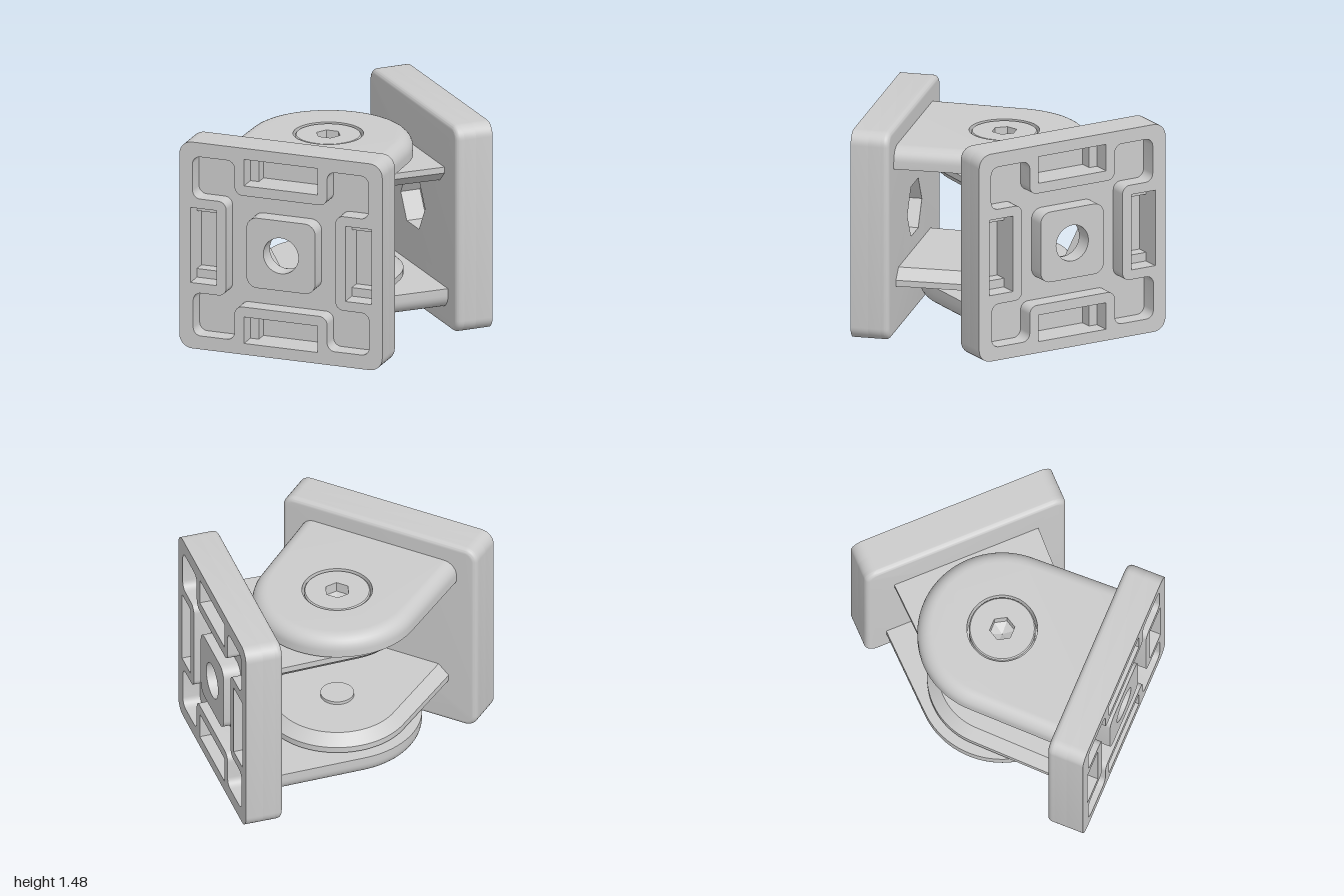
import * as THREE from 'three';
import { mergeGeometries, toCreasedNormals } from 'three/addons/utils/BufferGeometryUtils.js';

const grey = new THREE.MeshStandardMaterial({ color: 0xcccccc });
const thin = new THREE.MeshStandardMaterial({ color: 0xcccccc, side: THREE.DoubleSide });

// ---- outlines (counter-clockwise point loops) ----
function ring(r, n = 48) {
  return Array.from({ length: n }, (_, i) => {
    const a = (i / n) * Math.PI * 2;
    return new THREE.Vector2(r * Math.cos(a), r * Math.sin(a));
  });
}

// Polygon whose corners are rounded by radius r
function roundPoly(corners, r) {
  const out = [], n = corners.length, k = 0.4477;
  corners.forEach((c, i) => {
    const p = corners[(i + n - 1) % n], q = corners[(i + 1) % n];
    const dp = p.clone().sub(c).normalize(), dq = q.clone().sub(c).normalize();
    const at = (d, s) => c.clone().addScaledVector(d, s);
    out.push(...new THREE.CubicBezierCurve(at(dp, r), at(dp, r * k), at(dq, r * k), at(dq, r)).getPoints(8));
  });
  return out;
}

const rect = (x0, x1, y0, y1) =>
  [[x0, y0], [x1, y0], [x1, y1], [x0, y1]].map(([x, y]) => new THREE.Vector2(x, y));
const roundSquare = (h, r) => roundPoly(rect(-h, h, -h, h), r);
const turned = (pts, i) => pts.map(p => p.clone().rotateAround(new THREE.Vector2(), i * Math.PI / 2));

// ---- stacked sections: profile is a list of [inset, height]; holes run straight through ----
function loft(outline, profile, holes = []) {
  const pos = [];
  const wall = (a, wa, b, wb) => a.forEach((p, i) => {
    const j = (i + 1) % a.length;
    const A = [p.x, p.y, wa], B = [a[j].x, a[j].y, wa], C = [b[j].x, b[j].y, wb], D = [b[i].x, b[i].y, wb];
    pos.push(...A, ...B, ...C, ...A, ...C, ...D);
  });
  const cap = (pts, w, up) => {
    const s = new THREE.Shape(pts);
    s.holes = holes.map(h => new THREE.Path(h));
    const g = new THREE.ShapeGeometry(s).toNonIndexed().attributes.position;
    for (let t = 0; t < g.count; t += 3)
      for (const k of up ? [0, 1, 2] : [0, 2, 1]) pos.push(g.getX(t + k), g.getY(t + k), w);
  };
  const rings = profile.map(([o]) => outline(o));
  for (let i = 0; i + 1 < profile.length; i++) wall(rings[i], profile[i][1], rings[i + 1], profile[i + 1][1]);
  const low = profile[0][1], high = profile.at(-1)[1];
  cap(rings[0], low, false);
  cap(rings.at(-1), high, true);
  holes.forEach(h => { const r = [...h].reverse(); wall(r, low, r, high); });
  const geo = new THREE.BufferGeometry();
  geo.setAttribute('position', new THREE.Float32BufferAttribute(pos, 3));
  return toCreasedNormals(geo, 0.6);
}

// Quarter-round edge of radius r as profile steps
const fillet = (r, from) => Array.from({ length: 9 }, (_, i) => {
  const a = (i / 8) * Math.PI / 2;
  return [r * (1 - Math.cos(a)), from + r * Math.sin(a)];
});

// Hinge ear: round end about the pivot, sides flaring slightly to the foot
const ear = (R, foot) => o => {
  const pts = [new THREE.Vector2(-foot + o, -0.63), new THREE.Vector2(foot - o, -0.63)];
  for (let i = 0; i <= 40; i++) {
    const a = (i / 40) * Math.PI;
    pts.push(new THREE.Vector2((R - o) * Math.cos(a), (R - o) * Math.sin(a)));
  }
  return pts;
};

function add(group, name, geo, x = 0, y = 0, z = 0, mat = grey) {
  const m = new THREE.Mesh(geo, mat);
  m.name = name;
  m.position.set(x, y, z);
  group.add(m);
  return m;
}

// One bracket, with the hinge pivot on its local y axis and the plate towards +z
function bracket(name) {
  const g = new THREE.Group();
  g.name = name;

  // Mounting plate: recess with slots, slot floor level, rounded inner layer
  const plateOutline = o => roundSquare(0.7235 - o, 0.09 - o);
  const quarter = [[0.39, 0.33], [0.625, 0.33], [0.625, 0.63], [0.33, 0.63], [0.33, 0.39]]
    .map(([x, y]) => new THREE.Vector2(x, y));
  const recess = roundPoly([0, 1, 2, 3].flatMap(i => turned(quarter, i)), 0.055);
  const slots = [], deepSlots = [];
  for (let i = 0; i < 4; i++) {
    slots.push(turned(rect(0.46, 0.645, -0.263, 0.263), i));
    // side slots have a ledge at both ends, top and bottom ones at the -x end only
    const lo = i === 3 ? -0.203 : i === 1 ? -0.263 : -0.203;
    const hi = i === 3 ? 0.263 : 0.203;
    deepSlots.push(turned(rect(0.46, 0.645, lo, hi), i));
  }
  const hex = ring(0.2, 6);
  const edge = fillet(0.035, 0).map(([o, w]) => [0.035 - o, w]).map(([o], i) =>
    [0.035 * (1 - Math.sin(i / 8 * Math.PI / 2)), 0.035 * (1 - Math.cos(i / 8 * Math.PI / 2))]);
  const layers = [
    loft(plateOutline, [...edge, [0, 0.055]], [hex]),
    loft(plateOutline, [[0, 0.055], [0, 0.14]], [hex, ...deepSlots]),
    loft(plateOutline, [[0, 0.14], [0, 0.26]], [recess, ...slots]),
  ];
  add(g, 'mountingPlate', mergeGeometries(layers), 0, 0.7265, 0.615);
  add(g, 'centreBoss', loft(() => roundSquare(0.245, 0.075), [[0, 0.14], [0, 0.26]], [ring(0.125)]), 0, 0.7265, 0.615);

  // Outer ear with rounded edge and screw hole
  const flat = geo => geo.rotateX(-Math.PI / 2);
  add(g, 'outerEar', flat(loft(ear(0.565, 0.578), [[0, 0], ...fillet(0.095, 0.05)], [ring(0.235)])), 0, 1.17, 0);

  // Socket-head screw
  add(g, 'screwHead', flat(loft(o => ring(0.222 - o), [[0, 0], [0, 0.132], [0.008, 0.14]], [ring(0.085, 6)])), 0, 1.17, 0);
  const cone = new THREE.CylinderGeometry(0.085, 0.001, 0.04, 6, 1, true).rotateY(Math.PI / 6);
  add(g, 'screwSocketFloor', toCreasedNormals(cone, 0.3), 0, 1.22, 0, thin);

  // Inner ear with chamfered edge, spacer underneath and pin end on top
  add(g, 'innerEar', flat(loft(ear(0.5, 0.52), [[0, 0], [0, 0.042], [0.075, 0.112]])), 0, 0.335, 0);
  add(g, 'spacer', new THREE.CylinderGeometry(0.28, 0.28, 0.02, 48), 0, 0.328, 0);
  add(g, 'pinEnd', new THREE.CylinderGeometry(0.112, 0.112, 0.04, 40), 0, 0.449, 0);
  return g;
}

export function createModel() {
  const model = new THREE.Group();
  model.name = 'pivotJoint';

  const front = bracket('frontBracket');
  front.position.set(-0.2, 0, 0.125);

  // Same bracket upside down, swung round the pivot
  const rear = bracket('rearBracket');
  rear.position.set(-0.2, 1.488, 0.125);
  rear.rotation.set(0, Math.PI * 0.75, Math.PI);

  model.add(front, rear);
  return model;
}
